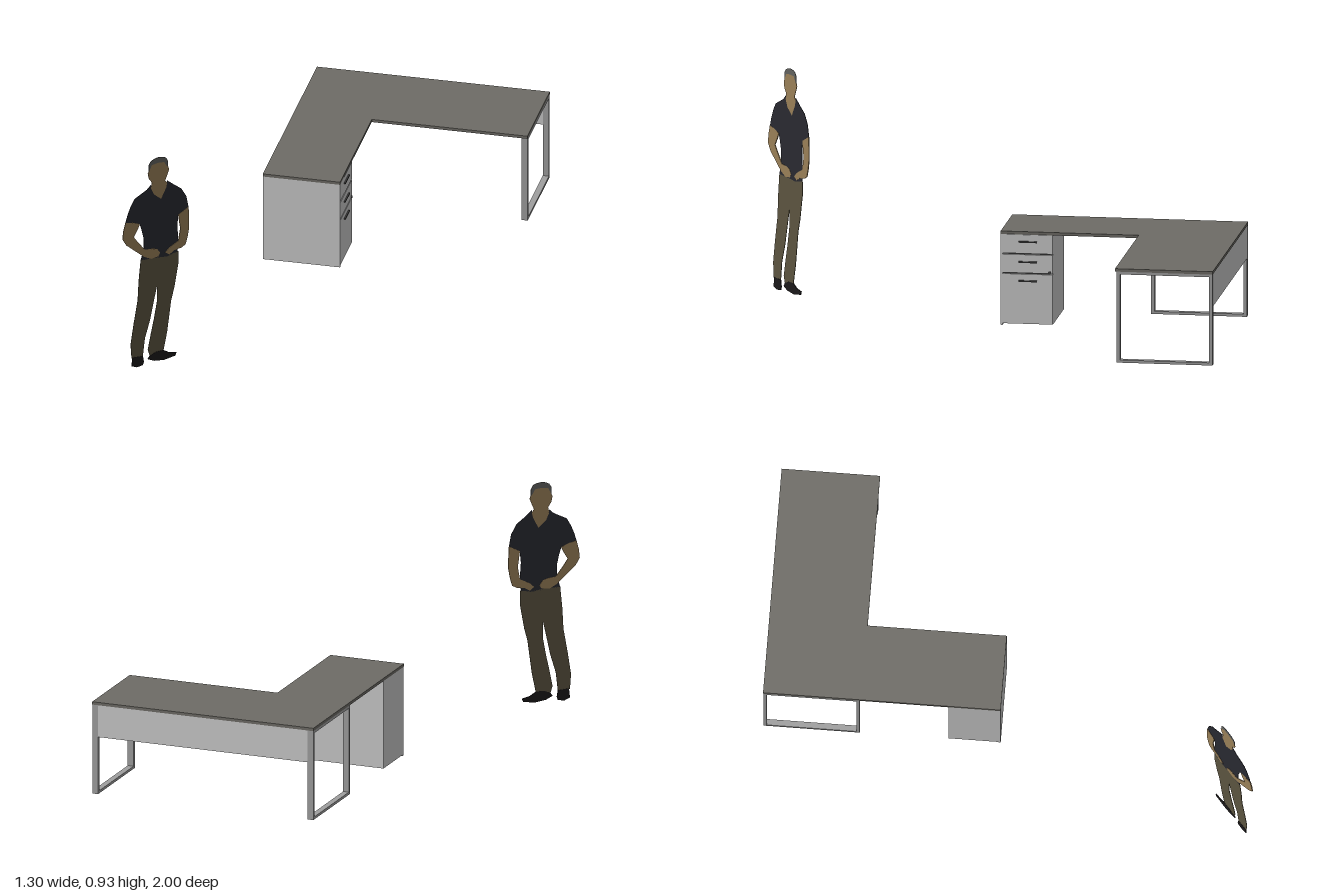
import * as THREE from 'three';

const mat = (name, color, side = THREE.FrontSide) => {
  const m = new THREE.MeshStandardMaterial({ color, side });
  m.name = name;
  return m;
};

export function createModel() {
  const root = new THREE.Group();
  root.name = 'deskWithFigure';
  const top = mat('desktopGrey', 0x6e6c66);
  const panel = mat('panelGrey', 0xcacaca);
  const metal = mat('frameGrey', 0xa0a0a0);
  const dark = mat('darkTrim', 0x404040);
  const skin = mat('skin', 0x9a8058);
  const hair = mat('hair', 0x62625f);
  const shirt = mat('shirt', 0x292a31);
  const trousers = mat('trousers', 0x5c5440);
  const shoe = mat('shoes', 0x1b191a);

  // Box given by its minimum and maximum on each axis
  const box = (parent, name, m, x0, x1, y0, y1, z0, z1) => {
    const mesh = new THREE.Mesh(new THREE.BoxGeometry(x1 - x0, y1 - y0, z1 - z0), m);
    mesh.position.set((x0 + x1) / 2, (y0 + y1) / 2, (z0 + z1) / 2);
    mesh.name = name;
    parent.add(mesh);
    return mesh;
  };

  const desk = new THREE.Group();
  desk.name = 'desk';
  root.add(desk);

  // L-shaped desktop
  const L = [[-0.315, 0.042], [0.004, 0.042], [0.004, 0.603], [0.646, 0.603], [0.646, 1], [-0.315, 1]];
  const lShape = new THREE.Shape(L.map(([x, y]) => new THREE.Vector2(x, y)));
  const lGeo = new THREE.ExtrudeGeometry(lShape, { depth: 0.012, bevelEnabled: false });
  lGeo.rotateX(-Math.PI / 2);
  const desktop = new THREE.Mesh(lGeo, top);
  desktop.position.y = 0.391;
  desktop.name = 'desktop';
  desk.add(desktop);

  // Rectangular leg frames at both ends of the long wing
  const hole = (w, h, t, b) => {
    const s = new THREE.Shape();
    s.moveTo(0, 0); s.lineTo(w, 0); s.lineTo(w, h); s.lineTo(0, h); s.closePath();
    const p = new THREE.Path();
    p.moveTo(t, b); p.lineTo(t, h - b); p.lineTo(w - t, h - b); p.lineTo(w - t, b); p.closePath();
    s.holes.push(p);
    return s;
  };
  for (const [name, x] of [['leftLegFrame', 0.621], ['rightLegFrame', -0.315]]) {
    const g = new THREE.ExtrudeGeometry(hole(0.389, 0.374, 0.014, 0.011), { depth: 0.025, bevelEnabled: false });
    g.rotateY(Math.PI / 2);
    const frame = new THREE.Mesh(g, metal);
    frame.position.set(x, 0.017, -0.61);
    frame.name = name;
    desk.add(frame);
  }

  // Modesty panel along the back
  box(desk, 'modestyPanel', panel, -0.29, 0.621, 0.257, 0.391, -0.999, -0.989);

  // Drawer cabinet, open underneath with a raised floor
  const cabinet = new THREE.Group();
  cabinet.name = 'drawerCabinet';
  desk.add(cabinet);
  box(cabinet, 'frontSidePanel', panel, -0.313, 0.004, 0.017, 0.391, -0.05, -0.042);
  box(cabinet, 'backSidePanel', panel, -0.313, -0.005, 0.022, 0.391, -0.253, -0.243);
  box(cabinet, 'endPanel', panel, -0.313, -0.303, 0.022, 0.391, -0.243, -0.05);
  box(cabinet, 'cabinetFloor', panel, -0.303, -0.007, 0.045, 0.055, -0.243, -0.05);
  box(cabinet, 'drawerGapLining', dark, -0.015, -0.005, 0.055, 0.391, -0.243, -0.05);
  const drawers = [[0.313, 0.39, 0.361], [0.233, 0.308, 0.278], [0.024, 0.228, 0.2]];
  for (const [y0, y1, handleY] of drawers) {
    box(cabinet, 'drawerFront', panel, -0.005, 0.004, y0, y1, -0.253, -0.05);
    box(cabinet, 'drawerHandle', dark, 0.004, 0.01, handleY - 0.003, handleY + 0.003, -0.19, -0.115);
  }
  const lock = new THREE.Mesh(new THREE.CylinderGeometry(0.006, 0.006, 0.005, 12), dark);
  lock.rotation.z = Math.PI / 2;
  lock.position.set(0.006, 0.237, -0.24);
  lock.name = 'lock';
  cabinet.add(lock);

  // Flat standing figure, turned towards the front left
  const figure = new THREE.Group();
  figure.name = 'flatFigure';
  figure.position.set(-0.537, 0, 0.9);
  figure.rotation.y = 0.722;
  figure.scale.x = 1 / Math.cos(0.722);
  root.add(figure);
  const cut = (name, m, pts, depth = 0.002) => {
    const v = [];
    for (let i = 0; i < pts.length; i += 2) {
      v.push(new THREE.Vector2((pts[i] - 83.75) / 288, (357 - pts[i + 1]) / 288));
    }
    const g = new THREE.ExtrudeGeometry(new THREE.Shape(v), { depth, bevelEnabled: false });
    g.translate(0, 0, -depth / 2);
    const mesh = new THREE.Mesh(g, m);
    mesh.name = name;
    figure.add(mesh);
  };
  cut('hair', hair, [77, 107, 77, 97, 79, 93, 82, 91, 86, 90, 91, 91, 94, 93, 96, 98, 96, 107, 94, 103,
    92, 98, 86, 97, 80, 98, 78, 103]);
  cut('faceAndNeck', skin, [80, 98, 86, 97, 92, 98, 94, 103, 96, 105, 97, 109, 95, 116, 93, 122, 95, 126,
    94, 132, 89, 145, 82, 137, 79, 128, 80, 121, 77, 115, 76, 108, 78, 103]);
  cut('shirt', shirt, [79, 124, 75, 129, 63, 137, 59, 146, 56, 156, 54, 165, 61, 167, 68, 171, 70, 180,
    72, 192, 72, 205, 69, 219, 82, 220, 95, 222, 105, 219, 106, 205, 105, 185, 106, 171, 116, 164,
    114, 150, 109, 138, 103, 132, 95, 123, 94, 132, 89, 145, 82, 137]);
  cut('rightArm', skin, [54, 165, 52, 175, 51, 186, 55, 195, 66, 208, 72, 215, 79, 220, 86, 219, 88, 215,
    85, 209, 80, 207, 73, 206, 66, 194, 62, 186, 66, 177, 68, 171, 61, 167], 0.004);
  cut('leftArm', skin, [106, 171, 116, 164, 116.5, 178, 116.5, 192, 115, 203, 113, 212, 109, 215, 102, 216,
    97, 220, 93, 216, 97, 211, 106, 205, 108, 190], 0.004);
  cut('trousers', trousers, [69, 218, 82, 219, 95, 221, 106, 219, 106, 235, 104, 250, 102, 265, 99, 280,
    97, 300, 95, 320, 91, 346, 78, 347, 76, 338, 79, 318, 82, 300, 85, 278, 85, 257, 82, 275, 78, 300,
    73, 322, 71, 345, 60, 344, 59, 326, 62, 300, 66, 270, 67, 245]);
  cut('rightShoe', shoe, [61, 343, 71, 344, 72, 352, 71, 356, 65, 357, 60, 354], 0.004);
  cut('leftShoe', shoe, [78, 346, 84, 343, 91, 343, 97, 348, 104, 350, 103, 354, 92, 356, 82, 354, 76, 350], 0.004);

  return root;
}
